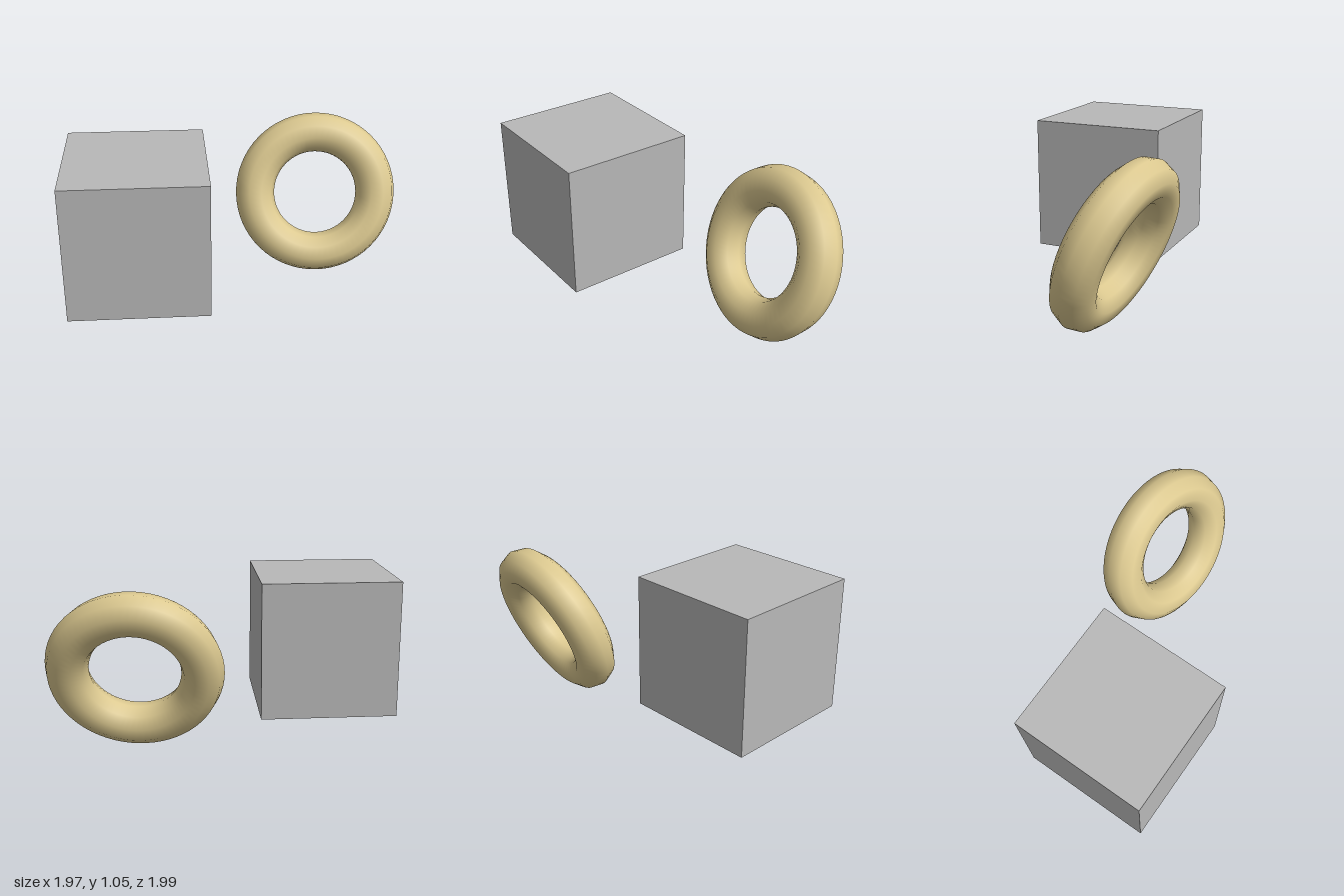
import * as THREE from 'three';

const grey = new THREE.MeshStandardMaterial({ name: 'grey', color: 0xb8b8b8 });
const sand = new THREE.MeshStandardMaterial({ name: 'sand', color: 0xdcc990 });

export function createModel() {
  const model = new THREE.Group();
  model.name = 'cubeAndRing';

  // Floating cube, turned about the vertical axis
  const cube = new THREE.Mesh(new THREE.BoxGeometry(0.89, 0.89, 0.89), grey);
  cube.name = 'cube';
  cube.position.set(-0.386, 0.608, 0.393);
  cube.rotation.y = 0.499;
  model.add(cube);

  // Tilted ring, its axis pointing forward, up and to the left
  const ring = new THREE.Mesh(new THREE.TorusGeometry(0.422, 0.135, 10, 64), sand);
  ring.name = 'ring';
  ring.position.set(0.457, 0.532, -0.65);
  const axis = new THREE.Vector3(0.37, 0.352, 0.86).normalize();
  ring.quaternion.setFromUnitVectors(new THREE.Vector3(0, 0, 1), axis);
  model.add(ring);

  return model;
}
